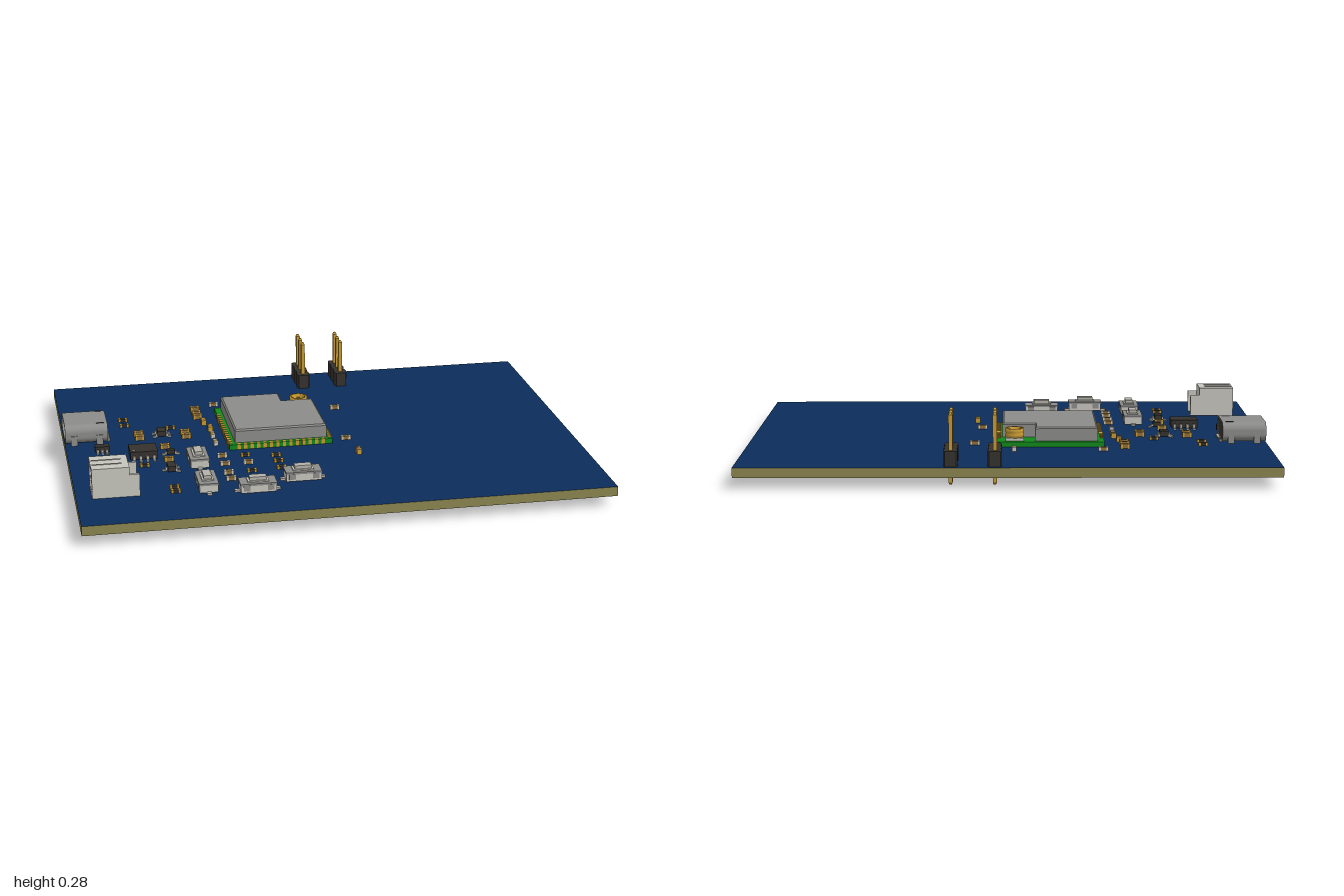
import * as THREE from 'three';

const mat = (name, color) => Object.assign(new THREE.MeshStandardMaterial({ color }), { name });
const M = {
  blue: mat('solder mask blue', 0x0b2d5c),
  edge: mat('board edge olive', 0x8c8550),
  green: mat('module green', 0x128a1c),
  shield: mat('shield grey', 0x8c8c8a),
  white: mat('connector off-white', 0xc8c6be),
  black: mat('plastic black', 0x35322e),
  gold: mat('gold', 0xc79a34),
  tan: mat('capacitor tan', 0x8f6f3c),
  silver: mat('solder silver', 0xb4b2aa),
};
const TOP = 0.082; // upper surface of the board

export function createModel() {
  const root = new THREE.Group();
  root.name = 'circuitBoard';

  const group = (name, x = 0, z = 0, turn = 0, parent = root) => {
    const g = new THREE.Group();
    g.name = name;
    g.position.set(x, TOP, z);
    g.rotation.y = turn;
    parent.add(g);
    return g;
  };
  const add = (parent, name, geo, material, x = 0, y = 0, z = 0) => {
    const m = new THREE.Mesh(geo, material);
    m.name = name;
    m.position.set(x, y, z);
    parent.add(m);
    return m;
  };
  // box centred on x and z, spanning y0 to y1
  const box = (parent, name, material, x, z, w, d, y0, y1) =>
    add(parent, name, new THREE.BoxGeometry(w, y1 - y0, d), material, x, (y0 + y1) / 2, z);

  // board with blue faces and bare edges
  box(root, 'board', [M.edge, M.edge, M.blue, M.blue, M.edge, M.edge], 0, 0, 2, 1.494, 0.045, TOP);

  // radio module: carrier, notched shield, edge pads
  const module = group('radioModule');
  box(module, 'carrier', M.green, -0.165, -0.117, 0.41, 0.435, 0, 0.02);
  const outline = new THREE.Shape([
    [-0.345, -0.078], [0.02, -0.078], [0.02, 0.23], [-0.105, 0.23], [-0.105, 0.32], [-0.345, 0.32],
  ].map(p => new THREE.Vector2(...p)));
  const shieldGeo = new THREE.ExtrudeGeometry(outline, {
    depth: 0.048, bevelEnabled: true, bevelThickness: 0.006, bevelSize: 0.006, bevelOffset: -0.006, bevelSegments: 1,
  });
  shieldGeo.rotateX(-Math.PI / 2);
  add(module, 'shield', shieldGeo, M.shield, 0, 0.02, 0);
  for (let i = 0; i < 15; i++) {
    const z = -0.25 + i * 0.0235;
    for (const x of [-0.364, 0.034]) box(module, 'sidePad', M.gold, x, z, 0.016, 0.013, 0.001, 0.022);
  }
  for (let i = 0; i < 14; i++) {
    box(module, 'frontPad', M.gold, -0.333 + i * 0.0258, 0.094, 0.013, 0.016, 0.001, 0.022);
  }

  // coaxial antenna socket
  const socket = group('antennaSocket', -0.027, -0.287);
  box(socket, 'base', M.white, 0, 0, 0.07, 0.07, 0.02, 0.032);
  const ring = [[0.022, 0.03], [0.036, 0.03], [0.036, 0.044], [0.032, 0.048], [0.036, 0.052], [0.036, 0.066], [0.026, 0.066], [0.022, 0.03]];
  add(socket, 'barrel', new THREE.LatheGeometry(ring.map(p => new THREE.Vector2(...p)), 24), M.gold);
  add(socket, 'centrePin', new THREE.CylinderGeometry(0.008, 0.008, 0.03, 12), M.gold, 0, 0.045, 0);

  // pin headers
  for (const hx of [0.048, 0.209]) {
    const header = group('pinHeader', hx, -0.649);
    for (const z of [-0.0585, 0, 0.0585]) {
      const s = 0.021, c = 0.012;
      const block = new THREE.Shape([
        [-s, -0.0292], [s, -0.0292], [0.026, -c], [0.026, c], [s, 0.0292], [-s, 0.0292], [-0.026, c], [-0.026, -c],
      ].map(p => new THREE.Vector2(...p)));
      const geo = new THREE.ExtrudeGeometry(block, { depth: 0.058, bevelEnabled: false }).rotateX(-Math.PI / 2);
      add(header, 'headerBody', geo, M.black, 0, 0, z);
      box(header, 'headerPin', M.gold, 0, z, 0.015, 0.015, -0.062, 0.188);
      for (const [y, up] of [[0.192, 1], [-0.066, -1]]) {
        const r = 0.0106;
        const tip = new THREE.CylinderGeometry(up > 0 ? 0.005 : r, up > 0 ? r : 0.005, 0.008, 4).rotateY(Math.PI / 4);
        add(header, 'pinTip', tip, M.gold, 0, y, z);
      }
    }
  }

  // USB socket: rounded shell open to the board edge
  const roundRect = (P, w, h, r) => {
    const p = new P(), x = w / 2, y = h / 2;
    for (const [cx, cy, a] of [[x - r, y - r, 0], [r - x, y - r, 1], [r - x, r - y, 2], [x - r, r - y, 3]])
      p.absarc(cx, cy, r, a * Math.PI / 2, (a + 1) * Math.PI / 2, false);
    p.closePath();
    return p;
  };
  const usb = group('usbSocket', -0.998, -0.158);
  const shell = roundRect(THREE.Shape, 0.195, 0.076, 0.03);
  shell.holes.push(roundRect(THREE.Path, 0.181, 0.062, 0.024));
  add(usb, 'shell', new THREE.ExtrudeGeometry(shell, { depth: 0.168, bevelEnabled: false, curveSegments: 8 })
    .rotateY(Math.PI / 2), M.shield, 0, 0.041, 0);
  add(usb, 'backPlug', new THREE.ExtrudeGeometry(roundRect(THREE.Shape, 0.183, 0.064, 0.025), { depth: 0.05, bevelEnabled: false })
    .rotateY(Math.PI / 2), M.black, 0.115, 0.041, 0);
  box(usb, 'tongue', M.black, 0.07, 0, 0.1, 0.13, 0.033, 0.049);
  for (const s of [-1, 1]) {
    box(usb, 'shellSlot', M.black, 0.14, s * 0.068, 0.03, 0.007, 0.0785, 0.0805);
    for (const x of [0.035, 0.135]) {
      box(usb, 'shellLeg', M.shield, x, s * 0.097, 0.026, 0.01, -0.044, 0.04);
    }
  }
  for (let i = 0; i < 12; i++) box(usb, 'contact', M.silver, 0.17, -0.066 + i * 0.012, 0.016, 0.006, 0.001, 0.008);

  // battery socket: hollow housing open to the board edge
  const jack = group('batterySocket', -0.87, 0.437);
  box(jack, 'floor', M.white, 0, 0, 0.14, 0.134, 0.002, 0.018);
  box(jack, 'roof', M.white, 0, 0, 0.14, 0.134, 0.1, 0.118);
  box(jack, 'rearWall', M.white, 0.06, 0, 0.02, 0.134, 0.018, 0.1);
  for (const s of [-1, 1]) {
    box(jack, 'sideWall', M.white, 0, s * 0.06, 0.14, 0.014, 0.018, 0.1);
    box(jack, 'rearArm', M.white, 0.088, s * 0.061, 0.038, 0.012, 0.002, 0.088);
    box(jack, 'roofRib', M.silver, -0.01, s * 0.022, 0.11, 0.005, 0.117, 0.12);
    box(jack, 'contactPin', M.silver, 0.0, s * 0.024, 0.14, 0.01, 0.05, 0.06);
    box(jack, 'contactLeg', M.silver, 0.073, s * 0.024, 0.01, 0.01, -0.082, 0.06);
  }

  // push buttons
  for (const [x, z, turn] of [[-0.51, 0.21, 1], [-0.51, 0.46, 1], [-0.328, 0.524, 0], [-0.143, 0.442, 0]]) {
    const b = group('pushButton', x, z, turn * Math.PI / 2);
    box(b, 'body', M.white, 0, 0, 0.134, 0.07, 0.004, 0.034);
    box(b, 'cover', M.shield, 0, 0, 0.138, 0.074, 0.032, 0.04);
    box(b, 'collar', M.white, 0, 0, 0.08, 0.044, 0.04, 0.045);
    box(b, 'plunger', M.silver, 0, 0, 0.064, 0.03, 0.045, 0.058);
    for (const s of [-1, 1]) {
      box(b, 'lead', M.silver, s * 0.074, 0, 0.024, 0.018, 0, 0.008);
      for (const t of [-1, 1]) box(b, 'coverClip', M.shield, s * 0.045, t * 0.036, 0.025, 0.004, 0.012, 0.034);
    }
  }

  // leaded chips: bent leads along both long sides
  const chip = (x, z, w, d, h, front, back, turn = 0) => {
    const g = group('chip', x, z, turn);
    box(g, 'package', M.black, 0, 0, w, d, 0.005, h);
    for (const [list, s] of [[front, 1], [back, -1]]) for (const lx of list) {
      box(g, 'leadFoot', M.silver, lx, s * (d / 2 + 0.013), 0.011, 0.014, 0, 0.005);
      box(g, 'leadShoulder', M.silver, lx, s * (d / 2 + 0.004), 0.011, 0.009, 0.003, h * 0.55);
    }
    return g;
  };
  const four = [-0.039, -0.013, 0.013, 0.039];
  const soic = chip(-0.71, 0.102, 0.106, 0.088, 0.036, four, four);
  add(soic, 'pinOneDot', new THREE.CylinderGeometry(0.006, 0.006, 0.002, 12), M.shield, -0.038, 0.0365, 0.028);
  chip(-0.614, -0.113, 0.05, 0.034, 0.026, [-0.018, 0, 0.018], [-0.018, 0.018], Math.PI / 2);
  chip(-0.62, 0.268, 0.056, 0.03, 0.026, [-0.018, 0.018], [0], Math.PI / 2);
  chip(-0.862, 0.022, 0.055, 0.032, 0.026, [-0.018, 0, 0.018], [-0.018, 0, 0.018]);
  chip(-0.602, 0.102, 0.022, 0.03, 0.022, [0], [0], Math.PI / 2);

  // two-terminal parts: [x, z, upright]
  const passives = (name, list, body, ends, w, d, h) => {
    for (const [x, z, upright] of list) {
      const g = group(name, x, z, upright ? Math.PI / 2 : 0);
      box(g, 'body', body, 0, 0, w * 0.56, d * 0.96, 0.001, h * 0.95);
      for (const s of [-1, 1]) box(g, 'terminal', ends, s * w * 0.39, 0, w * 0.22, d, 0, h);
    }
  };
  passives('capacitor', [
    [-0.704, -0.126], [-0.704, -0.078], [-0.52, -0.11], [-0.52, -0.064], [-0.447, -0.367],
    [-0.447, -0.319], [-0.447, -0.276], [-0.431, -0.212, 1], [-0.415, -0.137, 1],
    [-0.617, 0.035], [-0.617, 0.174], [0.12, 0.222, 1],
  ], M.tan, M.gold, 0.036, 0.02, 0.02);
  passives('resistor', [
    [-0.75, -0.303], [-0.75, -0.238], [-0.57, -0.18], [-0.715, 0.211], [-0.63, 0.447], [-0.63, 0.49],
    [-0.203, 0.195], [-0.203, 0.257], [-0.203, 0.327], [-0.32, 0.174], [-0.32, 0.34], [-0.32, 0.408],
  ], M.black, M.gold, 0.036, 0.018, 0.012);
  passives('indicator', [
    [-0.41, 0.169], [-0.41, 0.252], [-0.41, 0.345], [-0.41, 0.408], [-0.32, 0.254], [-0.362, -0.415],
    [-0.024, -0.41, 1], [0.126, -0.287], [0.1, 0.067], [-0.415, -0.061, 1], [-0.415, 0.024, 1],
  ], M.tan, M.white, 0.038, 0.018, 0.016);

  return root;
}
